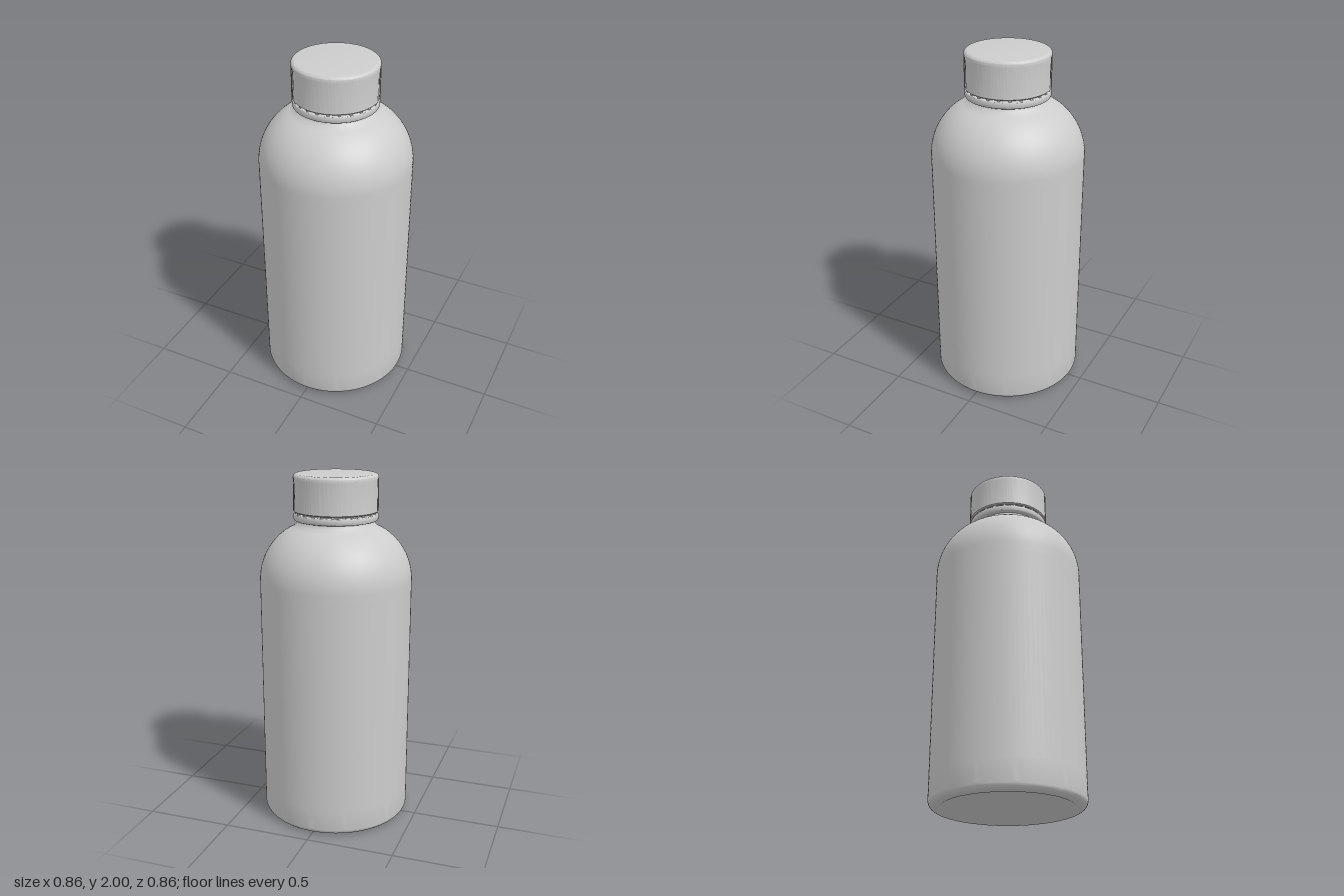
import * as THREE from 'three';
import { toCreasedNormals } from 'three/addons/utils/BufferGeometryUtils.js';

const plastic = new THREE.MeshStandardMaterial({ color: 0xcccccc });
plastic.name = 'light grey plastic';

// Points along a circular arc, angles in degrees
function arc(cx, cy, r, from, to, steps) {
  return Array.from({ length: steps + 1 }, (_, i) => {
    const a = THREE.MathUtils.degToRad(from + (to - from) * i / steps);
    return [cx + r * Math.cos(a), cy + r * Math.sin(a)];
  });
}

// Turned part; the profile runs from bottom to top
function turned(name, profile, segments, shape) {
  const geo = new THREE.LatheGeometry(profile.map(p => new THREE.Vector2(...p)), segments);
  if (shape) shape(geo.attributes.position, profile.length);
  const mesh = new THREE.Mesh(toCreasedNormals(geo, 0.6), plastic);
  mesh.name = name;
  return mesh;
}

export function createModel() {
  const model = new THREE.Group();
  model.name = 'bottle';

  // Body: flat base, rounded foot, straight wall, domed shoulder, short neck
  model.add(turned('body', [
    [0, 0.005], [0.36, 0.005], [0.37, 0],
    ...arc(0.39, 0.04, 0.04, -90, 0, 8),
    [0.43, 0.16], [0.43, 1.36],
    ...arc(0.1, 1.41, 0.33, 0, 66, 20),
    [0.218, 1.727], [0.209, 1.737], [0.207, 1.75], [0.207, 1.82], [0, 1.82],
  ], 96));

  // Tamper ring below the cap
  model.add(turned('tamperRing', [
    [0.205, 1.745], [0.222, 1.745],
    ...arc(0.226, 1.755, 0.01, -90, 0, 4),
    ...arc(0.228, 1.776, 0.008, 0, 90, 4),
    [0.205, 1.784],
  ], 96));

  // Small bridges joining the ring to the cap
  const bridges = new THREE.Group();
  bridges.name = 'ringBridges';
  const bridgeGeo = new THREE.BoxGeometry(0.014, 0.016, 0.012);
  for (let i = 0; i < 24; i++) {
    const a = i / 24 * Math.PI * 2;
    const bridge = new THREE.Mesh(bridgeGeo, plastic);
    bridge.position.set(Math.sin(a) * 0.224, 1.788, Math.cos(a) * 0.224);
    bridge.rotation.y = a;
    bridges.add(bridge);
  }
  model.add(bridges);

  // Screw cap with fine vertical ribs on its wall
  const ribs = 90;
  const capProfile = [
    [0.205, 1.792], [0.23, 1.792], [0.237, 1.798], [0.237, 1.805], [0.237, 1.97],
    ...arc(0.217, 1.98, 0.02, 0, 90, 6), [0, 2],
  ];
  model.add(turned('cap', capProfile, ribs * 2, (pos, rows) => {
    for (let i = 0; i < pos.count; i++) {
      const row = i % rows, column = Math.floor(i / rows);
      if ((row === 3 || row === 4) && column % 2) {
        const s = 0.2355 / 0.237;
        pos.setXYZ(i, pos.getX(i) * s, pos.getY(i), pos.getZ(i) * s);
      }
    }
  }));

  return model;
}
